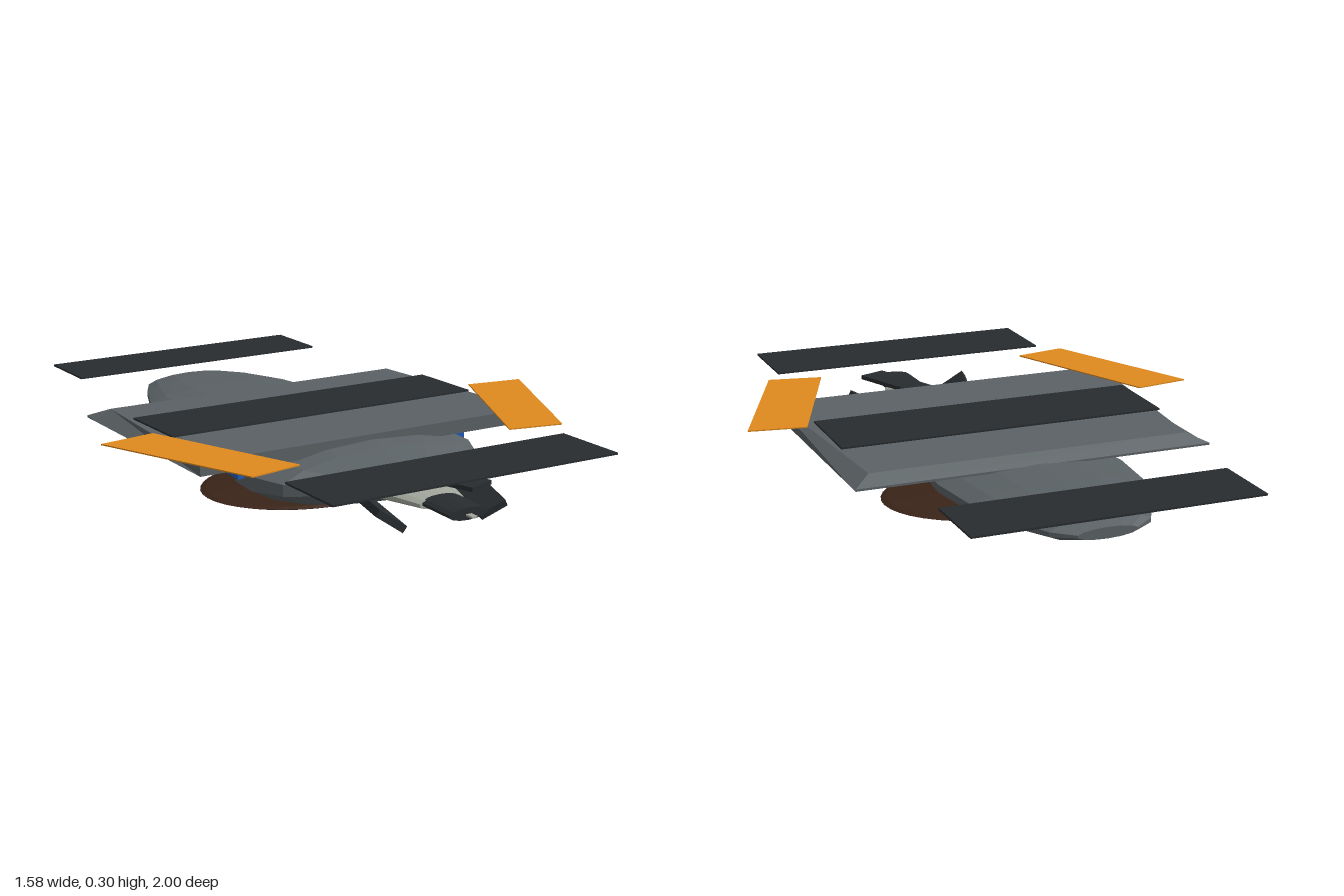
import * as THREE from 'three';

const mat = (color, side = THREE.FrontSide) => new THREE.MeshStandardMaterial({ color, flatShading: true, side });
const HULL = mat(0x5a6164), DARK = mat(0x282c2f), PALE = mat(0xa3a69c), ORANGE = mat(0xe08a1e),
  BLUE = mat(0x1e5ab8), BROWN = mat(0x3a2418), GOLD = mat(0xb08a4a);

function add(parent, name, geometry, material, x = 0, y = 0, z = 0) {
  const mesh = new THREE.Mesh(geometry, material);
  mesh.name = name;
  mesh.position.set(x, y, z);
  parent.add(mesh);
  return mesh;
}

// Closed skin through cross-sections ordered from back to front, each counter-clockwise seen from +z
function loft(rings) {
  const n = rings[0].length, pos = rings.flat(2), idx = [];
  for (let i = 0; i < rings.length - 1; i++) {
    for (let j = 0; j < n; j++) {
      const a = i * n + j, b = i * n + (j + 1) % n;
      idx.push(a, b, b + n, a, b + n, a + n);
    }
  }
  const last = (rings.length - 1) * n;
  for (let j = 1; j < n - 1; j++) idx.push(0, j + 1, j, last, last + j, last + j + 1);
  const g = new THREE.BufferGeometry();
  g.setAttribute('position', new THREE.Float32BufferAttribute(pos, 3));
  g.setIndex(idx);
  g.computeVertexNormals();
  return g;
}

// Elliptical section
function oval(z, rx, ry, cy, sides = 14) {
  return Array.from({ length: sides }, (_, i) => {
    const a = (i + 0.5) / sides * Math.PI * 2;
    return [Math.cos(a) * rx, cy + Math.sin(a) * ry, z];
  });
}

// Trapezoid section
const trapezoid = (z, bottomX, bottomY, topX, topY) =>
  [[-bottomX, bottomY, z], [bottomX, bottomY, z], [topX, topY, z], [-topX, topY, z]];

// Box running from one point to another, rolled about its length
function beam(parent, name, from, to, width, thick, roll, material) {
  const a = new THREE.Vector3(...from), b = new THREE.Vector3(...to);
  const g = new THREE.BoxGeometry(width, thick, a.distanceTo(b)).rotateZ(roll);
  const m = add(parent, name, g, material);
  m.position.copy(a).add(b).multiplyScalar(0.5);
  m.lookAt(b);
  return m;
}

export function createModel() {
  const model = new THREE.Group();
  model.name = 'flyingCraft';

  // Broad faceted front hull and flatter tapering tail
  add(model, 'frontHull', loft([
    oval(0.15, 0.35, 0.075, 0.172), oval(0.25, 0.41, 0.1, 0.172), oval(0.36, 0.415, 0.103, 0.172),
    oval(0.47, 0.365, 0.086, 0.172), oval(0.56, 0.24, 0.06, 0.174), oval(0.6, 0.13, 0.035, 0.178),
  ]), HULL);
  add(model, 'tailHull', loft([
    oval(-0.9, 0.1, 0.018, 0.178), oval(-0.85, 0.17, 0.033, 0.178), oval(-0.75, 0.225, 0.045, 0.18),
    oval(-0.57, 0.3, 0.054, 0.182), oval(-0.35, 0.325, 0.056, 0.182), oval(-0.1, 0.3, 0.052, 0.182),
    oval(0.16, 0.22, 0.042, 0.182),
  ]), HULL);
  const core = add(model, 'hullCore', new THREE.SphereGeometry(1, 14, 8), PALE, 0, 0.175, 0);
  core.scale.set(0.24, 0.066, 0.17);

  // Deck with bevelled back edge
  add(model, 'deck', loft([
    trapezoid(-0.41, 0.605, 0.228, 0.605, 0.235),
    trapezoid(-0.355, 0.605, 0.229, 0.545, 0.262),
    trapezoid(0.41, 0.605, 0.24, 0.605, 0.285),
  ]), HULL);

  // Dark flat panels
  for (const [name, w, d, y, z, tilt] of [
    ['frontPanel', 1.0, 0.265, 0.295, 0.867, -0.018],
    ['middlePanel', 1.12, 0.28, 0.285, -0.005, -0.03],
    ['backPanel', 0.945, 0.245, 0.266, -0.877, -0.02],
  ]) add(model, name, new THREE.BoxGeometry(w, 0.006, d), DARK, 0, y, z).rotation.x = tilt;

  // Angled orange side panels and blue side pods
  for (const s of [1, -1]) {
    const side = s > 0 ? 'left' : 'right';
    const shape = new THREE.Shape([[0.6, 0.08], [0.79, 0.11], [0.56, 0.65], [0.38, 0.615]]
      .map(([x, z]) => new THREE.Vector2(x * s, z)));
    const g = new THREE.ExtrudeGeometry(shape, { depth: 0.004, bevelEnabled: false }).rotateX(Math.PI / 2);
    add(model, side + 'OrangePanel', g, ORANGE, 0, 0.293, 0).rotation.x = -0.008;
    add(model, side + 'Pod', new THREE.BoxGeometry(0.16, 0.033, 0.14), BLUE, s * 0.343, 0.192, 0.24);
  }

  // Flattened nose nozzle with three swirled blades
  add(model, 'nozzle', loft([oval(0.57, 0.15, 0.04, 0.172), oval(0.8, 0.08, 0.02, 0.172)]), PALE);
  add(model, 'nozzleTip', loft([oval(0.79, 0.07, 0.019, 0.175), oval(0.94, 0.07, 0.019, 0.175)]), DARK);
  add(model, 'nozzlePin', new THREE.BoxGeometry(0.02, 0.006, 0.04), PALE, 0, 0.172, 0.95);
  beam(model, 'topBlade', [0, 0.217, 0.56], [0.11, 0.217, 0.85], 0.1, 0.014, 0, DARK);
  beam(model, 'rightBlade', [-0.13, 0.142, 0.56], [-0.21, 0.16, 0.85], 0.1, 0.024, -0.6, DARK);
  beam(model, 'leftBlade', [0.21, 0.175, 0.56], [0.155, 0.135, 0.85], 0.09, 0.022, 0.45, DARK);

  // Lens-shaped disc below
  const profile = [[0, 0], [0.5, 0.004], [0.95, 0.014], [1, 0.02], [0.95, 0.026], [0.5, 0.033], [0, 0.036]]
    .map(([r, y]) => new THREE.Vector2(r, y));
  const disc = add(model, 'lowerDisc', new THREE.LatheGeometry(profile, 40), BROWN);
  disc.scale.set(0.37, 1, 0.283);

  // Short struts with brass feet
  for (const s of [1, -1]) {
    for (const [z, y, lean] of [[0.2, 0.055, -0.04], [0, 0.055, 0], [-0.21, 0.075, 0.03]]) {
      const leg = new THREE.Group();
      leg.name = 'strut';
      leg.position.set(s * 0.155, y, z);
      model.add(leg);
      beam(leg, 'strutRod', [0, 0.01, 0], [0, 0.08, lean], 0.014, 0.014, 0, DARK);
      add(leg, 'strutCollar', new THREE.BoxGeometry(0.06, 0.012, 0.05), DARK, 0, 0.014, 0);
      add(leg, 'strutFoot', new THREE.CylinderGeometry(0.014, 0.014, 0.06, 8).rotateX(Math.PI / 2), GOLD, 0, 0.004, 0);
    }
  }
  return model;
}
